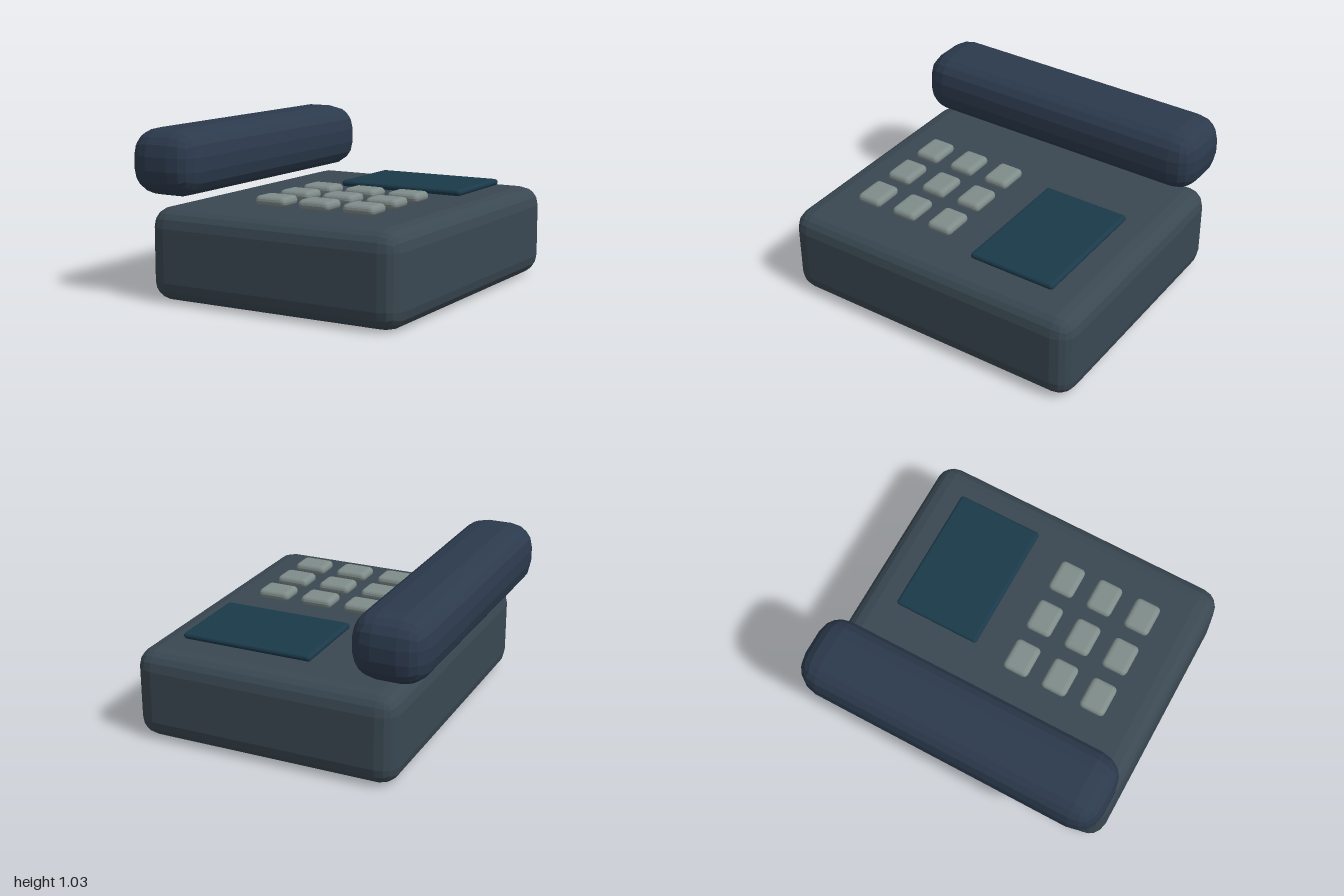
import * as THREE from 'three';
import { RoundedBoxGeometry } from 'three/addons/geometries/RoundedBoxGeometry.js';

const paint = (color) => new THREE.MeshStandardMaterial({ color, flatShading: true });

// Low-poly rounded box placed by its centre
function block(name, [w, h, d], radius, [x, y, z], material) {
  const mesh = new THREE.Mesh(new RoundedBoxGeometry(w, h, d, 2, radius), material);
  mesh.name = name;
  mesh.position.set(x, y, z);
  return mesh;
}

export function createModel() {
  const phone = new THREE.Group();
  phone.name = 'deskPhone';

  // Body
  phone.add(block('body', [1.68, 0.567, 2], 0.12, [0.08, 0.2835, 0], paint(0x3a4852)));

  // Handset floating above the model's right edge
  phone.add(block('handset', [0.473, 0.405, 2], 0.16, [-0.685, 0.823, 0], paint(0x2c3a4d)));

  // Display panel
  phone.add(block('screen', [0.84, 0.04, 0.565], 0.02, [0.288, 0.603, -0.478], paint(0x1b3a4a)));

  // Keypad, three by three
  const keypad = new THREE.Group();
  keypad.name = 'keypad';
  const keyPaint = paint(0x7f8c8a);
  for (let row = 0; row < 3; row++) {
    for (let col = 0; col < 3; col++) {
      const place = [-0.082 + col * 0.296, 0.613, 0.103 + row * 0.2625];
      keypad.add(block('key', [0.21, 0.06, 0.167], 0.03, place, keyPaint));
    }
  }
  phone.add(keypad);

  return phone;
}
